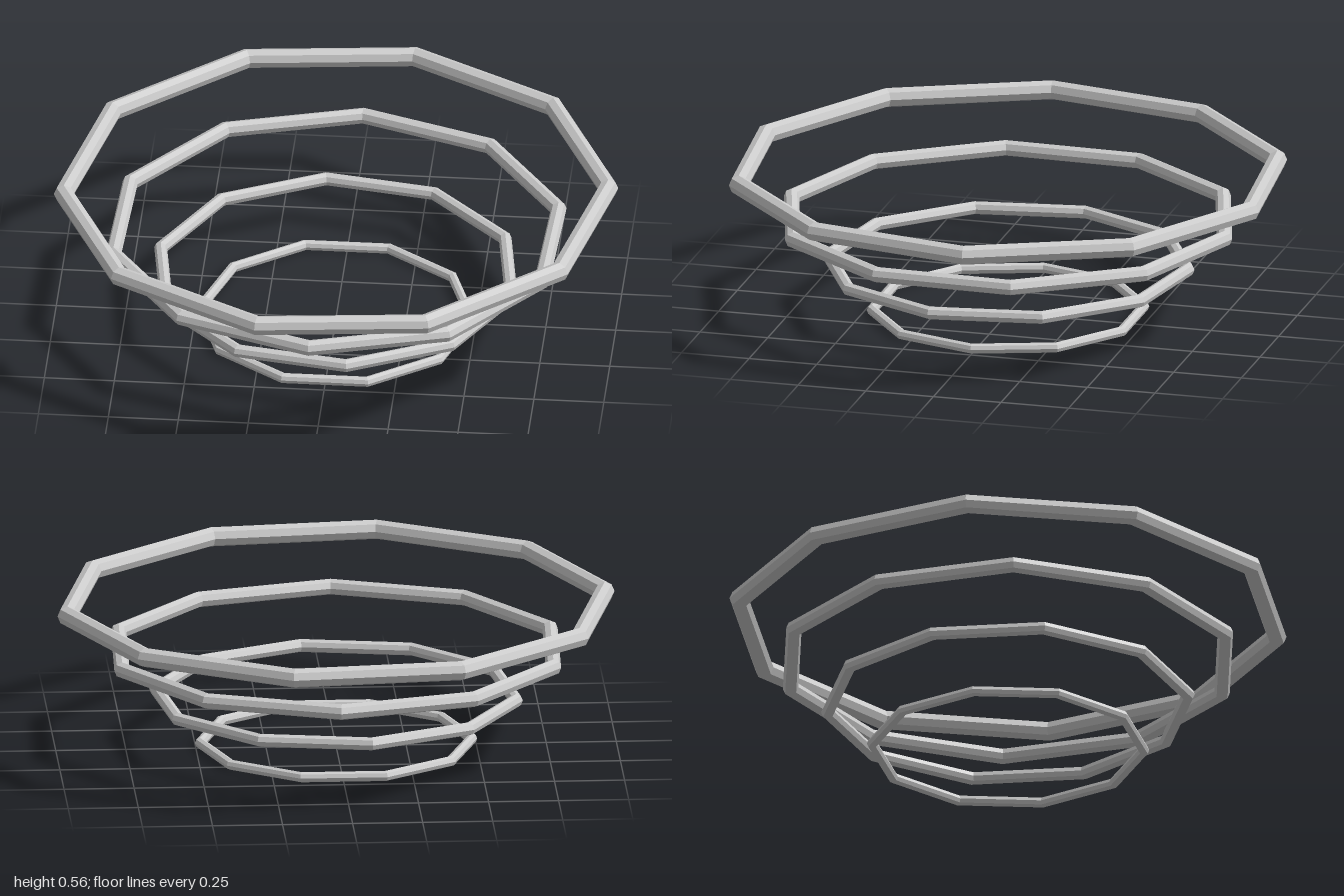
import * as THREE from 'three';

// Each ring: radius to the tube centre, tube radius, height of the centre
const RINGS = [
  { name: 'bottomRing', radius: 0.485, tube: 0.019, y: 0.019 },
  { name: 'lowerRing', radius: 0.646, tube: 0.024, y: 0.19 },
  { name: 'upperRing', radius: 0.808, tube: 0.029, y: 0.358 },
  { name: 'topRing', radius: 0.97, tube: 0.0355, y: 0.527 },
];
const SIDES = 10;
const TUBE_SIDES = 8;
const TWIST = THREE.MathUtils.degToRad(10);

export function createModel() {
  const group = new THREE.Group();
  group.name = 'ringBowl';
  const material = new THREE.MeshStandardMaterial({ color: 0xcccccc, flatShading: true });

  // Ten-sided rings, widening upward, each turned a further ten degrees
  RINGS.forEach(({ name, radius, tube, y }, i) => {
    const geometry = new THREE.TorusGeometry(radius, tube, TUBE_SIDES, SIDES);
    geometry.rotateZ(i * TWIST);
    geometry.rotateX(Math.PI / 2);
    const ring = new THREE.Mesh(geometry, material);
    ring.name = name;
    ring.position.y = y;
    group.add(ring);
  });

  return group;
}
